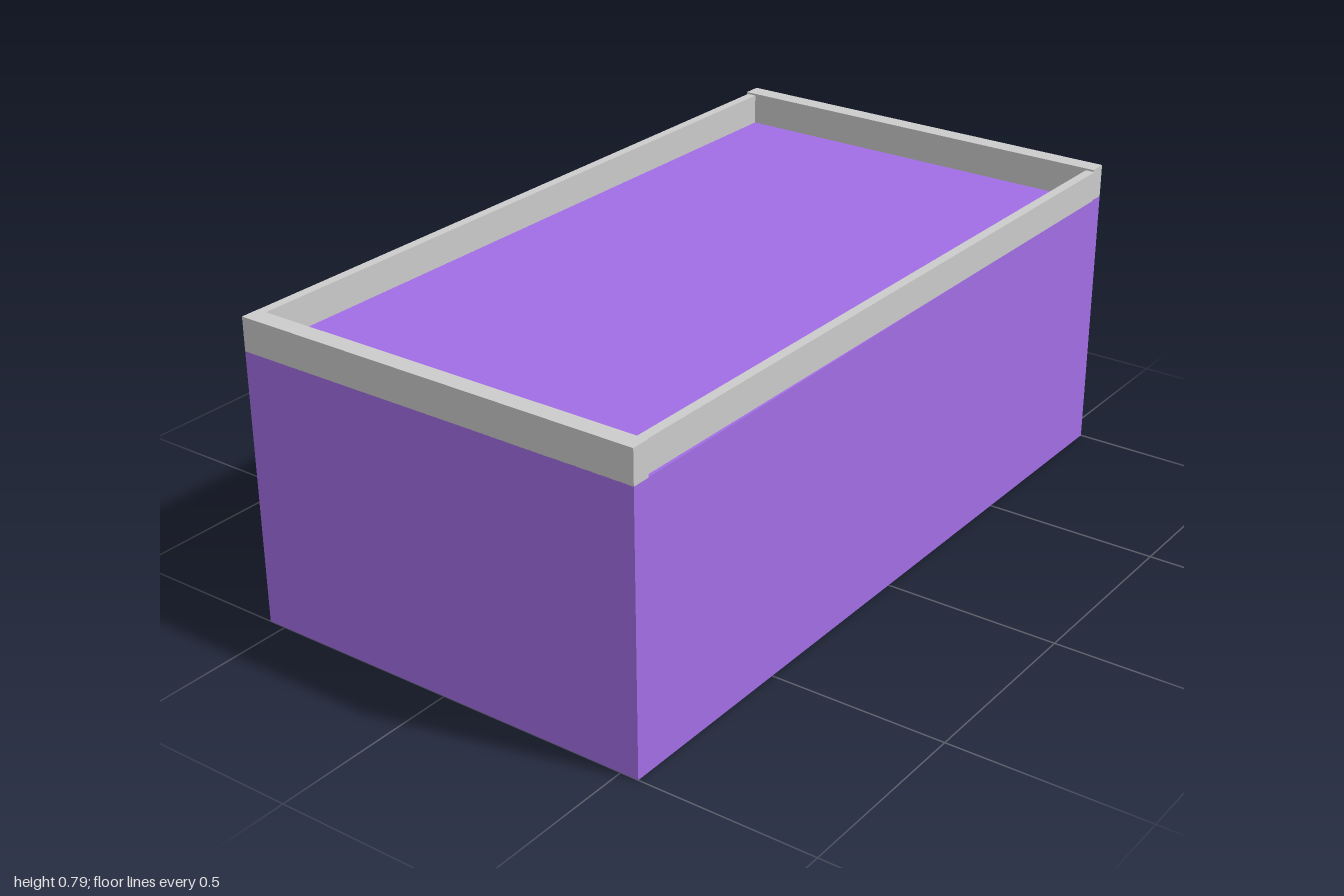
import * as THREE from 'three';

export function createModel() {
  const model = new THREE.Group();
  const purple = new THREE.MeshStandardMaterial({ color: 0xa26ee5 });
  const grey = new THREE.MeshStandardMaterial({ color: 0xcccccc });

  const addBox = (name, [w, h, d], [x, y, z], material, turn = 0) => {
    const mesh = new THREE.Mesh(new THREE.BoxGeometry(w, h, d), material);
    mesh.name = name;
    mesh.position.set(x, y, z);
    mesh.rotation.y = turn;
    model.add(mesh);
  };

  // Solid block
  addBox('body', [1.094, 0.702, 2], [0, 0.351, 0], purple);

  // Rails across the two ends
  addBox('frontRail', [1.094, 0.086, 0.048], [0, 0.744, 0.976], grey);
  addBox('backRail', [1.094, 0.086, 0.048], [0, 0.744, -0.976], grey);

  // Long rails between them, both turned slightly off the block's sides
  const turn = -0.006;
  addBox('leftRail', [0.025, 0.08, 1.9], [0.533, 0.743, 0], grey, turn);
  addBox('rightRail', [0.025, 0.08, 1.9], [-0.535, 0.743, 0], grey, turn);

  return model;
}
